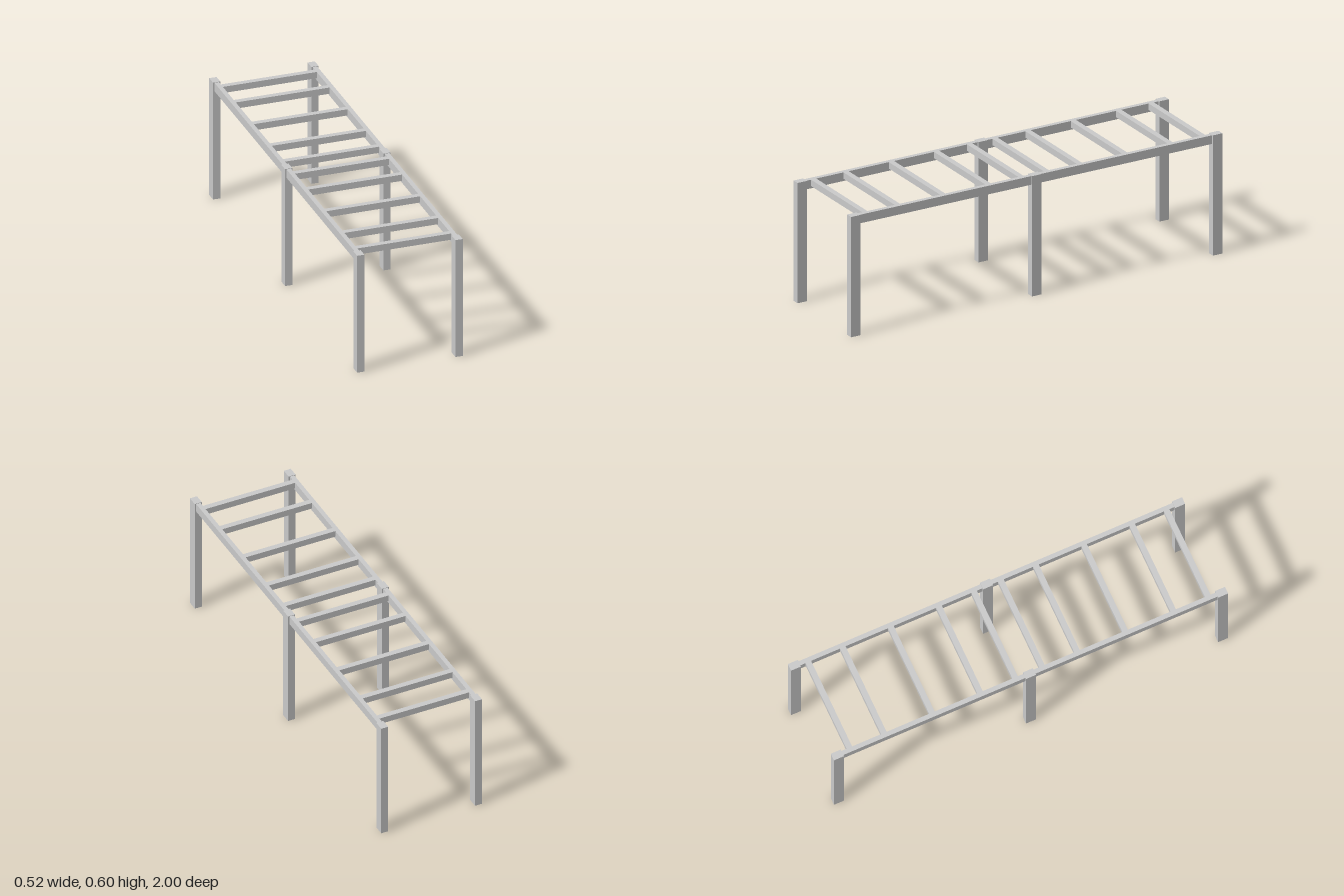
import * as THREE from 'three';

const material = new THREE.MeshStandardMaterial({ color: 0xcccccc, flatShading: true, side: THREE.DoubleSide });

export function createModel() {
  const model = new THREE.Group();
  const legX = 0.242, legHeight = 0.601;
  const beamTop = 0.599, railHeight = 0.043, rungHeight = 0.032;

  function addPart(name, geometry, x, y, z) {
    const mesh = new THREE.Mesh(geometry, material);
    mesh.name = name;
    mesh.position.set(x, y, z);
    model.add(mesh);
  }

  // Hollow-ended posts: a box whose bottom face is left out
  const legGeometry = new THREE.BoxGeometry(0.036, legHeight, 0.051);
  const index = Array.from(legGeometry.index.array);
  index.splice(18, 6);
  legGeometry.setIndex(index);
  legGeometry.clearGroups();

  // Posts and long side rails, mirrored left and right
  const railGeometry = new THREE.BoxGeometry(0.022, railHeight, 1.94);
  for (const [side, x] of [['left', legX], ['right', -legX]]) {
    for (const [place, z] of [['Front', 0.9745], ['Middle', 0], ['Back', -0.9745]]) {
      addPart(`${side}${place}Leg`, legGeometry, x, legHeight / 2, z);
    }
    addPart(`${side}Rail`, railGeometry, x, beamTop - railHeight / 2, 0);
  }

  // Rungs between the rails, mirrored front and back
  const rungGeometry = new THREE.BoxGeometry(0.464, rungHeight, 0.028);
  [0.068, 0.246, 0.49, 0.734, 0.909].forEach((z, i) => {
    addPart(`frontRung${i + 1}`, rungGeometry, 0, beamTop - rungHeight / 2, z);
    addPart(`backRung${i + 1}`, rungGeometry, 0, beamTop - rungHeight / 2, -z);
  });

  return model;
}
